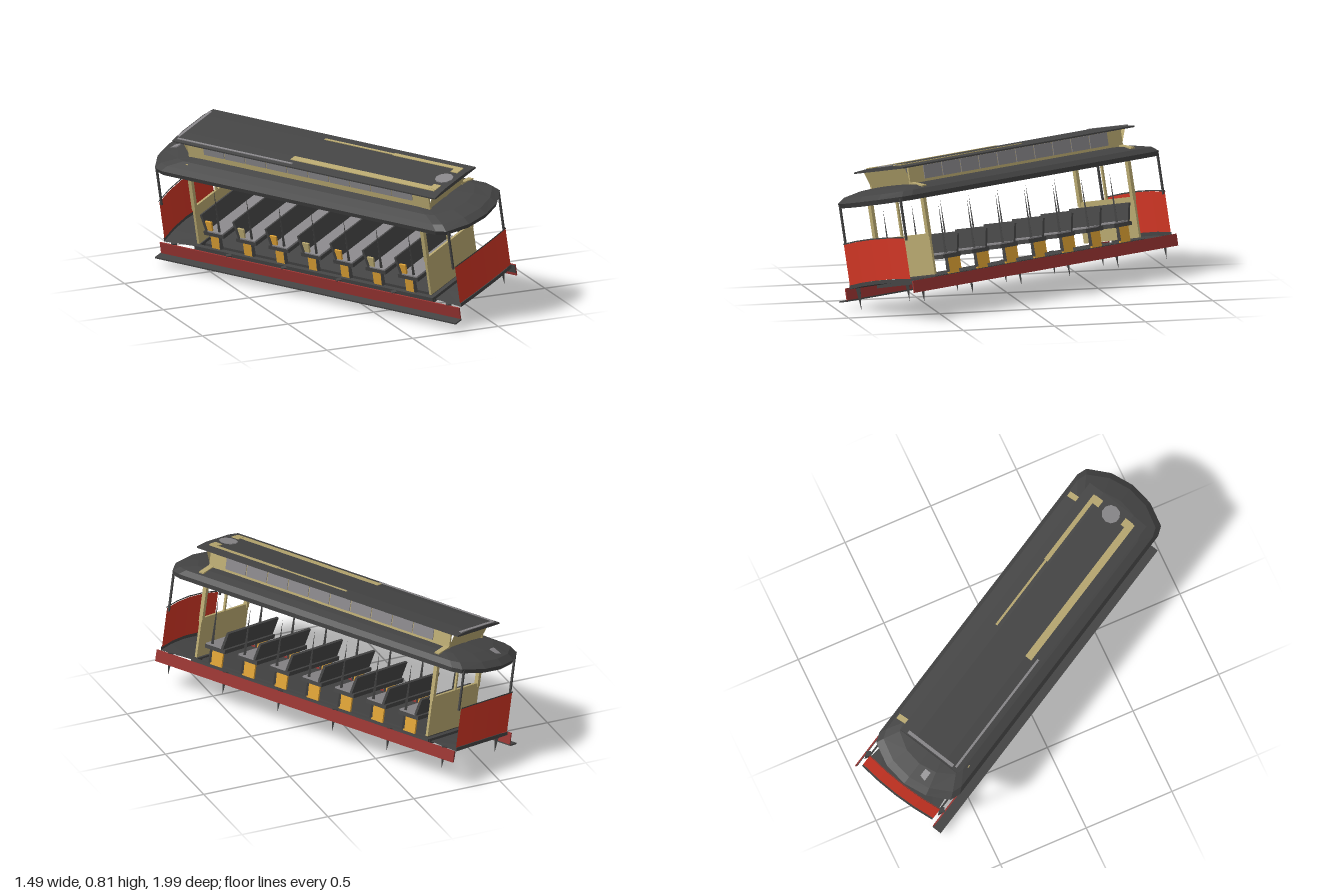
import * as THREE from 'three';

const mat = (name, color) => {
  const m = new THREE.MeshStandardMaterial({ color, side: THREE.DoubleSide, flatShading: true });
  m.name = name;
  return m;
};

export function createModel() {
  const dark = mat('charcoal', 0x444444);
  const red = mat('bright red', 0xcf3524);
  const boardRed = mat('dull red', 0x983431);
  const tan = mat('tan', 0xb8a870);
  const grey = mat('grey', 0x888689);
  const orange = mat('orange', 0xdca034);

  const root = new THREE.Group();
  root.name = 'openTram';
  root.rotation.y = 0.52;
  // the car leans to its right side
  const car = new THREE.Group();
  car.name = 'leaningCar';
  car.position.set(0.035, 0.14, 0);
  car.rotation.z = 0.21;
  root.add(car);

  const add = (name, geo, m, x = 0, y = 0, z = 0) => {
    const mesh = new THREE.Mesh(geo, m);
    mesh.name = name;
    mesh.position.set(x, y, z);
    car.add(mesh);
    return mesh;
  };
  const box = (name, m, w, h, d, x, y, z) => add(name, new THREE.BoxGeometry(w, h, d), m, x, y, z);

  // skin between cross-sections of equal point count
  const loft = (rows, closed) => {
    const n = rows[0].length, idx = [];
    for (let r = 0; r < rows.length - 1; r++) {
      for (let i = 0; i < (closed ? n : n - 1); i++) {
        const a = r * n + i, b = r * n + (i + 1) % n;
        idx.push(a, a + n, b, b, a + n, b + n);
      }
    }
    const g = new THREE.BufferGeometry();
    g.setAttribute('position', new THREE.Float32BufferAttribute(rows.flat(2), 3));
    g.setIndex(idx);
    const flat = g.toNonIndexed();
    flat.computeVertexNormals();
    return flat;
  };

  // main roof: bowed outline stepped inward to the raised centre
  const quarter = [[0.27, 0.9], [0.25, 0.955], [0.13, 1.02]];
  const front = [...quarter, [0, 1.04], ...quarter.map(([x, z]) => [-x, z]).reverse()];
  const outline = [...front, ...front.map(([x, z]) => [-x, -z])];
  const ring = (sx, sz, y) => outline.map(([x, z]) => [x * sx, y, z * sz]);
  add('mainRoof', loft([
    ring(0.98, 0.99, 0.463), ring(1, 1, 0.488), ring(0.93, 0.965, 0.515),
    ring(0.75, 0.88, 0.535), ring(0.55, 0.76, 0.545)], true), dark);

  // raised roof: walls, windows and shallow arched lid
  for (const s of [-1, 1]) {
    box('clerestorySide', tan, 0.012, 0.1, 1.58, s * 0.15, 0.585, 0);
    const h = s > 0 ? 0.072 : 0.055;
    for (let i = 0; i < 10; i++) {
      box('clerestoryWindow', grey, 0.02, h, 0.131, s * 0.15, 0.63 - h / 2, (i - 4.5) * 0.137);
    }
    add('clerestoryEnd', loft([
      [[-0.15, 0.53, s * 0.78], [0.15, 0.53, s * 0.78]],
      [[-0.16, 0.637, s * 0.82], [0.16, 0.637, s * 0.82]]], false), tan);
  }
  const lid = new THREE.Shape();
  lid.moveTo(-0.19, 0.632);
  lid.lineTo(0.19, 0.632);
  for (const [x, y] of [[0.19, 0.64], [0.1, 0.65], [-0.1, 0.65], [-0.19, 0.64]]) lid.lineTo(x, y);
  add('raisedRoof', new THREE.ExtrudeGeometry(lid, { depth: 1.72, bevelEnabled: false }), dark, 0, 0, -0.86);

  // worn markings on the roofs
  box('roofStripe', tan, 0.04, 0.004, 0.94, -0.118, 0.65, 0.35);
  box('roofStripe', tan, 0.024, 0.004, 0.45, 0.125, 0.65, 0.595);
  box('roofStripe', tan, 0.012, 0.004, 0.45, 0.125, 0.65, 0.145);
  for (const s of [-1, 1]) {
    box('roofStripeEnd', tan, 0.05, 0.004, 0.045, s * 0.1, 0.652, 0.8);
    box('roofHeaderPatch', tan, 0.1, 0.008, 0.03, 0.195, 0.537, s * 0.775).rotation.z = -0.22;
  }
  add('roofPatch', new THREE.CylinderGeometry(0.05, 0.05, 0.004, 10), grey, 0, 0.653, 0.79);
  box('wornEdge', grey, 0.012, 0.004, 0.75, -0.165, 0.645, -0.465);
  box('wornEdge', grey, 0.3, 0.004, 0.018, 0, 0.649, -0.845);
  box('wornRoofEnd', grey, 0.035, 0.006, 0.08, -0.06, 0.522, -0.955).rotation.x = -0.36;

  // floor, sills and cross beams
  box('floor', dark, 0.36, 0.02, 1.48, 0, 0.03, 0);
  for (const s of [-1, 1]) {
    box('sideSill', dark, 0.025, 0.03, 1.56, s * 0.215, 0.025, 0);
    box('crossBeam', dark, 0.43, 0.03, 0.025, 0, 0.025, s * 0.77);
  }

  // platforms, curved dash panels and bulkheads at both ends
  for (const s of [-1, 1]) {
    const arc = (y, out = 0) => [-1, -0.5, 0, 0.5, 1].map(
      t => [t * 0.235, y + (1 - t * t) * 0.012, s * (0.968 + (1 - t * t) * 0.02 + out)]);
    const inner = [-1, -0.5, 0, 0.5, 1].map(t => [t * 0.215, 0.03, s * 0.79]);
    add('dashPanel', loft([arc(0.05), arc(0.268)], false), red);
    add('dashRail', loft([arc(0.268, 0.004), arc(0.275, 0.004)], false), dark);
    add('platform', loft([inner, arc(0.03, 0.005), arc(0.05, 0.005)], false), dark);
    box('bulkhead', tan, 0.43, 0.22, 0.014, 0, 0.16, s * 0.76);
    box('bulkheadPost', tan, 0.012, 0.26, 0.012, 0, 0.39, s * 0.76);
    for (const x of [-0.205, 0.205]) {
      box('bulkheadPost', tan, 0.022, 0.26, 0.022, x, 0.38, s * 0.76);
    }
    for (const x of [-0.235, 0.235]) {
      box('cornerPost', dark, 0.01, 0.23, 0.01, x, 0.37, s * 0.955);
    }
  }
  box('bulkheadHeader', tan, 0.24, 0.07, 0.014, -0.1, 0.495, -0.76);

  // cross benches with slanted backs
  for (let i = 0; i < 7; i++) {
    const z = (i - 3) * 0.212;
    box('benchSeat', dark, 0.46, 0.022, 0.13, 0, 0.135, z);
    box('benchCushion', grey, 0.46, 0.008, 0.1, 0, 0.149, z + 0.01);
    box('benchBack', dark, 0.46, 0.11, 0.014, 0, 0.19, z - 0.055).rotation.x = -0.25;
    // large end panels beside the open side, slim ones opposite
    box('benchEnd', orange, 0.012, 0.1, 0.075, 0.212, 0.085, z - 0.01);
    box('benchEnd', orange, 0.012, 0.09, 0.055, -0.205, 0.085, z - 0.01);
    box('benchEndPanel', i % 2 ? tan : orange, 0.012, 0.06, 0.04, -0.22, 0.175, z - 0.03);
    for (const s of [-1, 1]) {
      // tapered grab poles
      add('grabPole', new THREE.ConeGeometry(0.013, 0.37, 4), dark, s * 0.215, 0.235, z + 0.03);
    }
  }

  // side boards, outer step and tapered hangers
  for (const s of [-1, 1]) {
    box('sideBoard', boardRed, 0.008, 0.064, 1.96, s * 0.261, 0.006, 0);
    for (let i = 0; i < 6; i++) {
      const hanger = add('stepHanger', new THREE.ConeGeometry(0.02, 0.13, 4), dark,
        s * 0.246, -0.023, (i - 2.5) * 0.36);
      hanger.rotation.x = Math.PI;
    }
  }
  box('boardBacking', dark, 0.004, 0.045, 1.96, 0.2555, 0.014, 0);
  box('outerStep', dark, 0.055, 0.008, 1.97, -0.288, -0.03, 0);

  return root;
}
